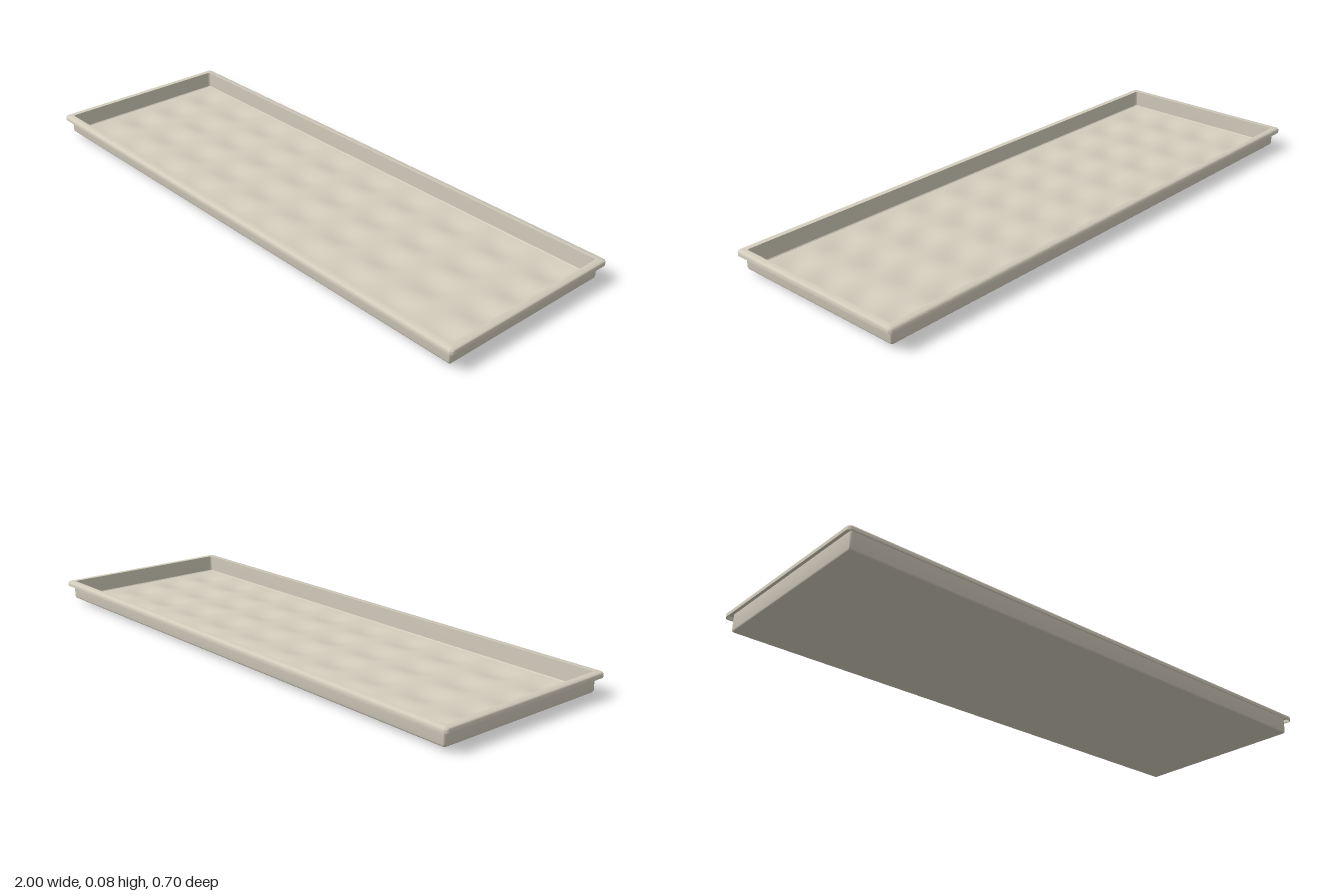
import * as THREE from 'three';
import { toCreasedNormals } from 'three/addons/utils/BufferGeometryUtils.js';

const HALF_X = 1, HALF_Z = 0.35;
const FLOOR_X = 1.944, FLOOR_Z = 0.644;
const CELLS_X = 10, CELLS_Z = 4, DEPTH = 0.012;

// Rounded rectangle in plan, set in from the outer rim
function rectLoop(inset, y, steps = 5) {
  const r = Math.max(0.015 - inset, 0.006);
  const cx = HALF_X - inset - r, cz = HALF_Z - inset - r;
  const points = [];
  [[1, 1], [-1, 1], [-1, -1], [1, -1]].forEach(([sx, sz], q) => {
    for (let i = 0; i <= steps; i++) {
      const a = (q + i / steps) * Math.PI / 2;
      points.push([sx * cx + r * Math.cos(a), y, sz * cz + r * Math.sin(a)]);
    }
  });
  return points;
}

// Sweep a profile of [inset, y] pairs around the tray
function sweepProfile(profile) {
  const loops = profile.map(([inset, y]) => rectLoop(inset, y));
  const n = loops[0].length;
  const index = [];
  for (let i = 0; i < loops.length - 1; i++) {
    for (let j = 0; j < n; j++) {
      const a = i * n + j, b = i * n + (j + 1) % n;
      index.push(a, b, a + n, b, b + n, a + n);
    }
  }
  const geometry = new THREE.BufferGeometry();
  geometry.setAttribute('position', new THREE.Float32BufferAttribute(loops.flat(2), 3));
  geometry.setIndex(index);
  return toCreasedNormals(geometry, 0.7);
}

// Sheet pressed into a grid of shallow hollows, facing up or down
function dimpledSheet(y, facing) {
  const geometry = new THREE.PlaneGeometry(FLOOR_X, FLOOR_Z, CELLS_X * 8, CELLS_Z * 8);
  geometry.rotateX(-facing * Math.PI / 2);
  const p = geometry.attributes.position;
  for (let i = 0; i < p.count; i++) {
    const u = (p.getX(i) / FLOOR_X + 0.5) * CELLS_X;
    const v = (p.getZ(i) / FLOOR_Z + 0.5) * CELLS_Z;
    const hollow = (Math.sin(Math.PI * u) * Math.sin(Math.PI * v)) ** 2;
    p.setY(i, y - DEPTH * hollow);
  }
  geometry.computeVertexNormals();
  return geometry;
}

export function createModel() {
  const tray = new THREE.Group();
  tray.name = 'tray';
  const stone = new THREE.MeshStandardMaterial({ color: 0xd2ccbc });
  stone.name = 'warm stone grey';

  const add = (name, geometry) => {
    const mesh = new THREE.Mesh(geometry, stone);
    mesh.name = name;
    tray.add(mesh);
  };

  // Inner wall, rolled rim with a hollow lip, outer wall and rounded foot
  add('wallsAndRim', sweepProfile([
    [0.028, 0.017], [0.025, 0.02], [0.025, 0.079],
    [0.006, 0.079], [0.002, 0.077], [0, 0.073],
    [0, 0.062], [0.004, 0.062], [0.004, 0.074],
    [0.02, 0.074], [0.02, 0.02], [0.0215, 0.015], [0.024, 0.0128], [0.028, 0.012],
  ]));

  // Floor, top and underside
  add('floorTop', dimpledSheet(0.017, 1));
  add('floorUnderside', dimpledSheet(0.012, -1));

  return tray;
}
